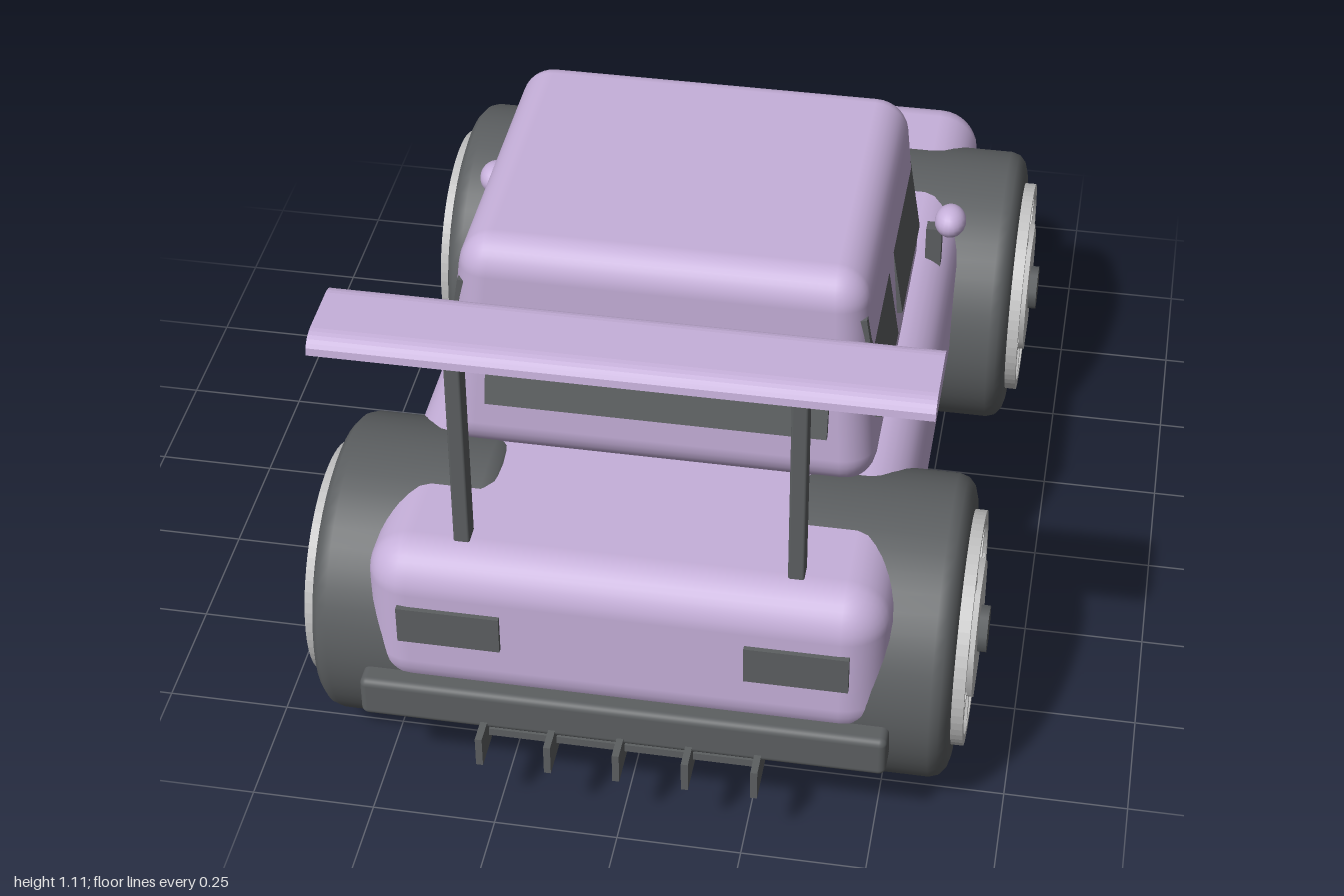
import * as THREE from 'three';
import { RoundedBoxGeometry } from 'three/addons/geometries/RoundedBoxGeometry.js';

const material = (name, color) => {
  const m = new THREE.MeshStandardMaterial({ color });
  m.name = name;
  return m;
};

export function createModel() {
  const paint = material('lavender paint', 0xc6b0da);
  const dark = material('dark grey', 0x5c5f61);
  const silver = material('silver', 0xc2c2c2);
  const lens = material('lamp beige', 0xb8ae8c);

  const car = new THREE.Group();
  car.name = 'buggy';

  const add = (name, geometry, mat, parent = car) => {
    const mesh = new THREE.Mesh(geometry, mat);
    mesh.name = name;
    parent.add(mesh);
    return mesh;
  };
  // Box given by its limits on each axis, optionally rounded
  const box = (name, mat, [x0, x1], [y0, y1], [z0, z1], r = 0, parent = car) => {
    const size = [x1 - x0, y1 - y0, z1 - z0];
    const geo = r ? new RoundedBoxGeometry(...size, 4, r) : new THREE.BoxGeometry(...size);
    const mesh = add(name, geo, mat, parent);
    mesh.position.set((x0 + x1) / 2, (y0 + y1) / 2, (z0 + z1) / 2);
    return mesh;
  };
  // Disc along x between two x positions
  const discX = (name, mat, r, x0, x1, sides, parent) => {
    const geo = new THREE.CylinderGeometry(r, r, x1 - x0, sides);
    geo.rotateZ(-Math.PI / 2).rotateX(Math.PI / sides).translate((x0 + x1) / 2, 0, 0);
    return add(name, geo, mat, parent);
  };

  // Main body
  box('body', paint, [-0.515, 0.515], [0.25, 0.6], [-0.89, 0.92], 0.09);

  // Cabin: rounded box narrowing towards the roof
  const cabin = box('cabin', paint, [-0.442, 0.442], [0.58, 1.04], [-0.295, 0.555], 0.07);
  const p = cabin.geometry.attributes.position;
  for (let i = 0; i < p.count; i++) {
    const t = (p.getY(i) + 0.23) / 0.46;
    p.setX(i, p.getX(i) * (1 - 0.085 * t));
    p.setZ(i, p.getZ(i) * (1 - 0.19 * t));
  }

  // Windows: thin tilted plates sinking into the cabin towards the top
  const sideWindow = (side, z0, z1) => {
    const w = box('sideWindow', dark, [-0.01, 0.01], [0.715, 0.95], [z0, z1]);
    w.position.x = side * 0.414;
    w.rotation.z = side * 0.157;
  };
  for (const side of [-1, 1]) {
    sideWindow(side, 0.195, 0.473);
    sideWindow(side, -0.19, 0.125);
  }
  const rearWindow = box('rearWindow', dark, [-0.343, 0.343], [0.703, 0.843], [-0.01, 0.01]);
  rearWindow.position.z = 0.524;
  rearWindow.rotation.x = -0.24;
  const windscreen = box('windscreen', dark, [-0.343, 0.343], [0.703, 0.843], [-0.01, 0.01]);
  windscreen.position.z = -0.267;
  windscreen.rotation.x = 0.24;

  // Wheels, built with the outer face towards +x
  const tyreProfile = [
    [0, 0.284], [0.265, 0.284], [0.285, 0.29], [0.3, 0.303], [0.306, 0.325],
    [0.306, 0.6], [0.3, 0.619], [0.285, 0.632], [0.265, 0.638], [0, 0.638],
  ].map(([r, x]) => new THREE.Vector2(r, x));
  const tyreGeo = new THREE.LatheGeometry(tyreProfile, 48).rotateZ(-Math.PI / 2);
  const ringShape = new THREE.Shape().absarc(0, 0, 0.237, 0, Math.PI * 2);
  ringShape.holes.push(new THREE.Path().absarc(0, 0, 0.215, 0, Math.PI * 2, true));
  const ringGeo = new THREE.ExtrudeGeometry(ringShape, { depth: 0.027, bevelEnabled: false, curveSegments: 32 })
    .rotateY(Math.PI / 2).translate(0.635, 0, 0);

  for (const side of [-1, 1]) {
    for (const z of [-0.572, 0.6]) {
      const wheel = new THREE.Group();
      wheel.name = 'wheel';
      add('tyre', tyreGeo, dark, wheel);
      add('rimRing', ringGeo, silver, wheel);
      for (let i = 0; i < 7; i++) {
        const spoke = new THREE.Group();
        spoke.name = 'spoke';
        spoke.rotation.x = (i / 7) * Math.PI * 2;
        box('spokeBar', silver, [0.635, 0.66], [-0.013, 0.013], [-0.222, -0.1], 0, spoke);
        wheel.add(spoke);
      }
      discX('hub', silver, 0.148, 0.635, 0.67, 8, wheel);
      discX('hubNut', dark, 0.05, 0.66, 0.688, 8, wheel);
      wheel.position.set(0, 0.306, z);
      if (side < 0) wheel.rotation.z = Math.PI;
      car.add(wheel);
    }
  }

  // Raised wing on two posts
  const wingShape = new THREE.Shape();
  wingShape.moveTo(-0.915, 1.075);
  wingShape.lineTo(-0.725, 1.075);
  wingShape.lineTo(-0.727, 1.09);
  wingShape.quadraticCurveTo(-0.74, 1.109, -0.765, 1.11);
  wingShape.lineTo(-0.875, 1.11);
  wingShape.quadraticCurveTo(-0.9, 1.109, -0.913, 1.09);
  const wingGeo = new THREE.ExtrudeGeometry(wingShape, { depth: 1.162, bevelEnabled: false, curveSegments: 5 });
  add('wing', wingGeo.rotateY(Math.PI / 2).translate(-0.581, 0, 0), paint);
  for (const x of [-0.327, 0.327]) {
    box('wingPost', dark, [x - 0.016, x + 0.016], [0.58, 1.08], [0.8, 0.843], 0.005);
  }

  // Rear end: bumper, lights and finned underside
  box('rearBumper', dark, [-0.525, 0.525], [0.207, 0.298], [0.87, 0.95], 0.015);
  for (const x of [-0.342, 0.342]) {
    box('rearLight', dark, [x - 0.102, x + 0.102], [0.4, 0.483], [0.9, 0.93]);
  }
  box('diffuserBar', dark, [-0.28, 0.28], [0.183, 0.2], [0.89, 0.94]);
  for (let i = -2; i <= 2; i++) {
    const x = i * 0.137;
    box('diffuserFin', dark, [x - 0.007, x + 0.007], [0.158, 0.226], [0.88, 1]);
  }

  // Nose: bumper, splitter, grille and headlamps
  box('frontBumper', dark, [-0.545, 0.545], [0.207, 0.298], [-0.935, -0.86], 0.015);
  box('splitter', dark, [-0.515, 0.515], [0.176, 0.196], [-0.996, -0.85]);
  box('splitterEdge', lens, [-0.515, 0.515], [0.178, 0.194], [-1, -0.995]);
  box('grille', dark, [-0.178, 0.178], [0.35, 0.465], [-0.9, -0.88]);
  for (let i = 0; i < 4; i++) {
    const y = 0.362 + i * 0.028;
    box('grilleSlat', dark, [-0.165, 0.165], [y, y + 0.014], [-0.915, -0.895]);
  }
  for (const x of [-0.345, 0.345]) {
    const bezel = new THREE.CylinderGeometry(0.1, 0.1, 0.05, 8).rotateX(-Math.PI / 2).rotateZ(Math.PI / 8);
    add('headlampBezel', bezel, silver).position.set(x, 0.437, -0.885);
    const glass = new THREE.CylinderGeometry(0.07, 0.084, 0.02, 32).rotateX(-Math.PI / 2);
    add('headlampLens', glass, lens).position.set(x, 0.437, -0.917);
  }

  for (const side of [-1, 1]) {
    // Bonnet vents
    const vx = side * 0.147;
    box('ventFrame', silver, [vx - 0.042, vx + 0.042], [0.59, 0.61], [-0.757, -0.46]);
    box('ventGrille', dark, [vx - 0.028, vx + 0.028], [0.6, 0.615], [-0.732, -0.484]);
    // Wing mirrors
    const mx = side * 0.469;
    box('mirrorStem', dark, [mx - 0.017, mx + 0.017], [0.57, 0.672], [-0.275, -0.245]);
    const mirror = add('mirror', new THREE.SphereGeometry(0.034, 20, 14), paint);
    mirror.scale.z = 1.25;
    mirror.position.set(side * 0.502, 0.688, -0.262);
    // Door handles
    const hx = side * 0.517;
    box('doorHandle', silver, [hx - 0.012, hx + 0.012], [0.514, 0.538], [0.045, 0.147]);
  }

  return car;
}
